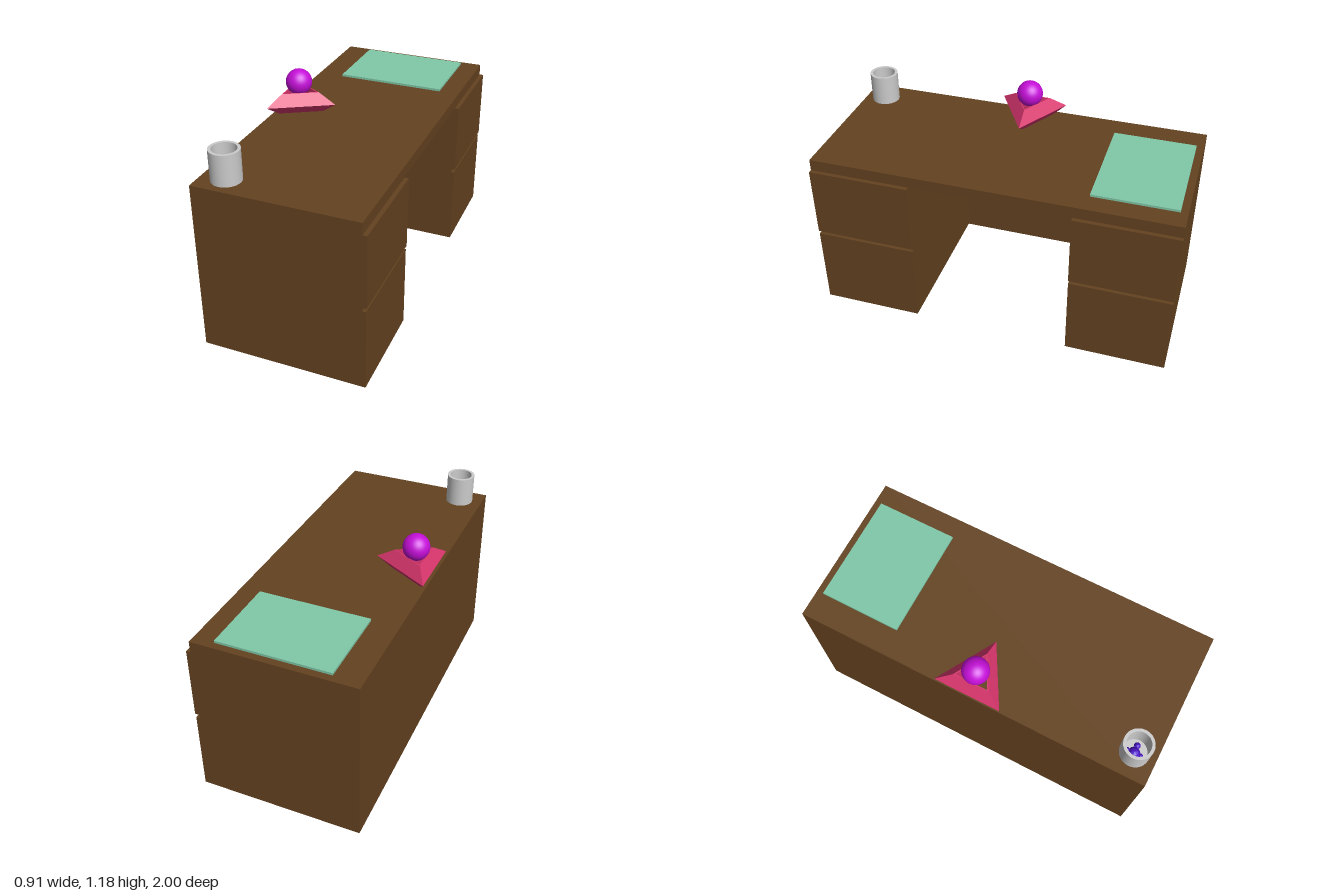
import * as THREE from 'three';

const paint = (color, flatShading = false) =>
  new THREE.MeshStandardMaterial({ color, flatShading, side: THREE.DoubleSide });

export function createModel() {
  const model = new THREE.Group();
  model.name = 'desk';
  const wood = paint(0x64421f);

  const add = (name, geometry, material, x = 0, y = 0, z = 0) => {
    const mesh = new THREE.Mesh(geometry, material);
    mesh.name = name;
    mesh.position.set(x, y, z);
    model.add(mesh);
    return mesh;
  };
  // Box given by its limits on each axis
  const block = (name, material, [x0, x1], [y0, y1], [z0, z1]) =>
    add(name, new THREE.BoxGeometry(x1 - x0, y1 - y0, z1 - z0), material,
      (x0 + x1) / 2, (y0 + y1) / 2, (z0 + z1) / 2);

  // Desk carcass: top slab, thin back panel closing the kneehole
  block('deskTop', wood, [-0.45, 0.43], [0.887, 0.95], [-1, 1]);
  block('backPanel', wood, [-0.45, -0.446], [0, 0.887], [-0.445, 0.437]);

  // Two pedestals, each with a pair of raised drawer fronts
  for (const [side, z] of [['left', [0.437, 1]], ['right', [-1, -0.445]]]) {
    block(side + 'Pedestal', wood, [-0.45, 0.43], [0, 0.887], z);
    block(side + 'LowerDrawer', wood, [0.43, 0.449], [0, 0.465], z);
    block(side + 'UpperDrawer', wood, [0.43, 0.453], [0.487, 0.886], z);
  }

  // Desk mat
  block('deskMat', paint(0x80c8a8), [-0.3, 0.315], [0.95, 0.963], [-0.96, -0.505]);

  // Three-sided stand with an open middle, holding a ball
  const standProfile = [[0.105, 0], [0.14, 0], [0.217, 0.05], [0.118, 0.11], [0.105, 0.11], [0.105, 0]]
    .map(([r, y]) => new THREE.Vector2(r, y));
  add('ballStand', new THREE.LatheGeometry(standProfile, 3, Math.PI / 2),
    paint(0xd6356c, true), -0.346, 0.95, 0);
  add('ball', new THREE.SphereGeometry(0.073, 32, 20), paint(0xc50fd8), -0.347, 1.105, 0);

  // Pen cup: repeated points keep the rim edges crisp
  const cupProfile = [[0, 0], [0.079, 0], [0.079, 0], [0.079, 0.168], [0.079, 0.168],
    [0.063, 0.168], [0.063, 0.168], [0.063, 0.012], [0.063, 0.012], [0, 0.012]]
    .map(([r, y]) => new THREE.Vector2(r, y));
  add('cup', new THREE.LatheGeometry(cupProfile, 32), paint(0xcccccc), -0.315, 0.95, 0.882);

  // Small faceted trinket lying in the cup
  const violet = paint(0x4b14c8, true);
  for (const [x, y, z, r] of [[-0.335, 1.0, 0.88, 0.032], [-0.335, 1.0, 0.845, 0.014],
    [-0.335, 1.0, 0.915, 0.014], [-0.29, 0.99, 0.88, 0.017]]) {
    add('trinket', new THREE.IcosahedronGeometry(r, 1), violet, x, y, z);
  }
  return model;
}
